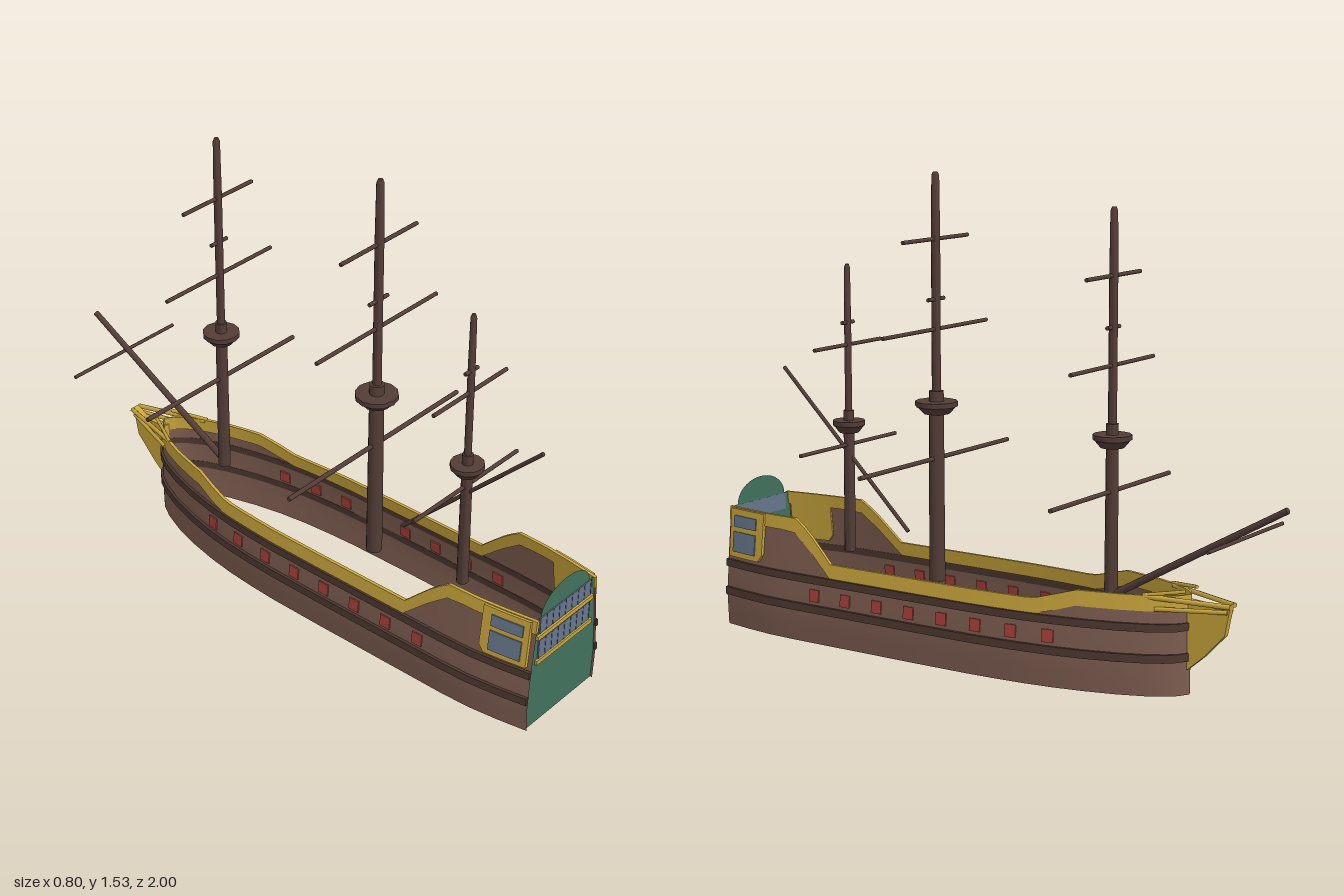
import * as THREE from 'three';
import { toCreasedNormals } from 'three/addons/utils/BufferGeometryUtils.js';

const mat = (name, color, side = THREE.FrontSide) => {
  const m = new THREE.MeshStandardMaterial({ color, side });
  m.name = name;
  return m;
};
const planks = mat('hull brown', 0x7d5d50, THREE.DoubleSide);
const wale = mat('wale brown', 0x4d372f);
const spar = mat('spar brown', 0x523c36);
const gold = mat('gold trim', 0xc9a53c);
const green = mat('stern green', 0x41705b, THREE.DoubleSide);
const glass = mat('window glass', 0x67768c);
const lead = mat('window bars', 0x4b586c);
const red = mat('gun port red', 0xa8403a);

// Piecewise linear lookup; points are listed with ascending first value
const curve = (pts) => (t) => {
  for (let i = 1; i < pts.length; i++) {
    const [a, va] = pts[i - 1], [b, vb] = pts[i];
    if (t <= b) return va + (vb - va) * Math.max(0, (t - a) / (b - a));
  }
  return pts[pts.length - 1][1];
};

// Hull plan, tumblehome, and the upper and lower edges of the rail
const plan = curve([[-0.68, 0], [-0.66, 0.037], [-0.63, 0.065], [-0.58, 0.095], [-0.5, 0.128], [-0.4, 0.157],
  [-0.3, 0.178], [-0.2, 0.192], [-0.1, 0.2], [0, 0.205], [0.2, 0.207], [0.7, 0.207], [0.8, 0.203], [0.9, 0.19], [1, 0.172]]);
const section = curve([[0, 0.97], [0.1, 1], [0.22, 0.95], [0.3, 0.9], [0.4, 0.84]]);
const width = (z, y) => plan(z) * section(y);
const railTop = curve([[-0.68, 0.31], [-0.37, 0.31], [-0.23, 0.27], [0.54, 0.27], [0.62, 0.345], [0.69, 0.4], [1, 0.4]]);
const railLow = curve([[-0.68, 0.262], [-0.37, 0.262], [-0.25, 0.225], [0.54, 0.225], [0.63, 0.305], [0.7, 0.357], [1, 0.357]]);
const stations = [-0.68, -0.66, -0.63, -0.58, -0.5, -0.4, -0.37, -0.3, -0.24, -0.2, -0.1, 0, 0.2, 0.4,
  0.54, 0.58, 0.625, 0.66, 0.695, 0.75, 0.8, 0.85, 0.9, 0.95, 1];

function add(parent, name, geo, material) {
  const m = new THREE.Mesh(geo, material);
  m.name = name;
  parent.add(m);
  return m;
}

// Surface through rings of points; closed rings get end caps
function loft(rings, closed, flip) {
  const n = rings[0].length, idx = [];
  const tri = (a, b, c) => (flip ? idx.push(a, c, b) : idx.push(a, b, c));
  for (let i = 0; i < rings.length - 1; i++) {
    for (let j = 0; j < (closed ? n : n - 1); j++) {
      const a = i * n + j, b = i * n + (j + 1) % n;
      tri(a, b, b + n);
      tri(a, b + n, a + n);
    }
  }
  if (closed) {
    const e = (rings.length - 1) * n;
    tri(0, 2, 1); tri(0, 3, 2);
    tri(e, e + 1, e + 2); tri(e, e + 2, e + 3);
  }
  const g = new THREE.BufferGeometry();
  g.setAttribute('position', new THREE.Float32BufferAttribute(rings.flat(2), 3));
  g.setIndex(idx);
  return toCreasedNormals(g, 0.6);
}

// Band that hugs the hull between two heights
function band(parent, name, material, s, zs, low, high, out, inn) {
  const rings = zs.map((z) => {
    const lo = low(z), hi = high(z);
    const p = (y, off) => [s * Math.max(0, width(z, y) + off), y, z];
    return [p(lo, inn), p(lo, out), p(hi, out), p(hi, inn)];
  });
  add(parent, name, loft(rings, true, s < 0), material);
}

// Round spar between two points
function pole(parent, name, a, b, r0, r1 = r0, material = spar, sides = 8) {
  const p = new THREE.Vector3(...a), q = new THREE.Vector3(...b), d = q.clone().sub(p);
  const m = add(parent, name, new THREE.CylinderGeometry(r1, r0, d.length(), sides), material);
  m.position.copy(p).add(q).multiplyScalar(0.5);
  m.quaternion.setFromUnitVectors(new THREE.Vector3(0, 1, 0), d.normalize());
}

function box(parent, name, material, size, pos) {
  const m = add(parent, name, new THREE.BoxGeometry(...size), material);
  m.position.set(...pos);
  return m;
}

function hullSide(s) {
  const g = new THREE.Group();
  g.name = s > 0 ? 'leftHull' : 'rightHull';
  const rings = stations.map((z) => [0, 0.05, 0.1, 0.16, 0.22, (0.22 + railLow(z)) / 2, railLow(z) + 0.01]
    .map((y) => [s * width(z, y), y, z]));
  add(g, 'planking', loft(rings, false, s < 0), planks);
  band(g, 'lowerWale', wale, s, stations, () => 0.105, () => 0.13, 0.01, -0.001);
  band(g, 'upperWale', wale, s, stations, () => 0.2, () => 0.224, 0.01, -0.001);
  band(g, 'rail', gold, s, stations, railLow, railTop, 0.004, -0.007);

  // Gun ports turned to lie on the planking
  for (let i = 0; i < 8; i++) {
    const z = 0.6 - i * 0.1264;
    const port = box(g, 'gunPort', red, [0.009, 0.04, 0.038], [s * width(z, 0.16), 0.16, z]);
    port.rotation.set(0, s * Math.atan((plan(z + 0.02) - plan(z - 0.02)) / 0.04), s * 0.09);
  }

  // Quarter gallery
  band(g, 'galleryFrame', gold, s, [0.828, 0.845, 0.9, 0.985], curve([[0.828, 0.26], [0.845, 0.237], [1, 0.237]]),
    () => 0.397, 0.012, -0.006);
  for (const [lo, hi] of [[0.255, 0.322], [0.338, 0.376]]) {
    band(g, 'galleryWindow', glass, s, [0.86, 0.9, 0.966], () => lo, () => hi, 0.016, 0.011);
  }

  // Rails of the beakhead
  pole(g, 'beakTopRail', [s * 0.085, 0.305, -0.57], [s * 0.016, 0.293, -0.82], 0.008, 0.008, gold, 6);
  pole(g, 'beakLowerRail', [s * 0.08, 0.27, -0.6], [s * 0.014, 0.275, -0.81], 0.007, 0.007, gold, 6);
  pole(g, 'bowRail', [s * 0.09, 0.31, -0.565], [s * 0.035, 0.325, -0.68], 0.006, 0.006, gold, 6);
  return g;
}

function stern() {
  const g = new THREE.Group();
  g.name = 'stern';
  const s = new THREE.Shape();
  s.moveTo(-0.167, 0).lineTo(0.167, 0).lineTo(0.172, 0.1).lineTo(0.163, 0.22).lineTo(0.144, 0.4).lineTo(0.12, 0.4);
  s.absellipse(0, 0.4, 0.12, 0.077, 0, Math.PI, false);
  s.lineTo(-0.144, 0.4).lineTo(-0.163, 0.22).lineTo(-0.172, 0.1);
  add(g, 'transom', new THREE.ShapeGeometry(s, 16), green).position.z = 0.992;
  for (const [y, h] of [[0.282, 0.066], [0.37, 0.056]]) {
    box(g, 'sternWindow', glass, [0.254, h, 0.004], [0, y, 0.9935]);
    for (let i = 0; i < 9; i++) box(g, 'windowBar', lead, [0.003, h, 0.003], [-0.125 + i * 0.03125, y, 0.995]);
  }
  for (const y of [0.24, 0.331]) box(g, 'sternMoulding', gold, [0.276, 0.015, 0.008], [0, y, 0.996]);
  return g;
}

// Mast with fighting top, crosstree and yards given as [height, half length]
function mast(name, z, base, topY, tip, rLow, rHigh, rTop, yards) {
  const g = new THREE.Group();
  g.name = name;
  g.position.z = z;
  const lathe = (part, pts) => add(g, part, toCreasedNormals(
    new THREE.LatheGeometry(pts.map(([r, y]) => new THREE.Vector2(r, y)), 12), 0.7), spar);
  const cap = topY + 0.033;
  lathe('pole', [[0, base], [rLow, base], [rLow * 0.9, cap], [rHigh, cap], [rHigh, tip - 0.2],
    [rHigh * 0.85, tip - 0.012], [rHigh * 0.5, tip], [0, tip]]);
  lathe('top', [[rLow * 0.8, topY - 0.042], [rTop * 0.62, topY - 0.04], [rTop * 0.9, topY - 0.02],
    [rTop, topY - 0.016], [rTop, topY], [rLow * 0.8, topY]]);
  for (const [y, half] of yards) {
    pole(g, half < 0.05 ? 'crosstree' : 'yard', [-half, y, 0], [half, y, 0], half < 0.3 ? 0.0065 : 0.0075);
  }
  return g;
}

export function createModel() {
  const ship = new THREE.Group();
  ship.name = 'sailingShip';
  ship.add(hullSide(1), hullSide(-1), stern());

  // Knee below the beakhead
  const k = new THREE.Shape();
  k.moveTo(0.672, 0.075).lineTo(0.73, 0.125).lineTo(0.8, 0.2).lineTo(0.82, 0.3).lineTo(0.78, 0.28).lineTo(0.672, 0.285);
  const knee = new THREE.ExtrudeGeometry(k, { depth: 0.022, bevelEnabled: false });
  knee.translate(0, 0, -0.011).rotateY(Math.PI / 2);
  add(ship, 'beakKnee', knee, gold);

  ship.add(
    mast('mainMast', 0.255, 0.22, 0.805, 1.53, 0.026, 0.0145, 0.068, [[0.62, 0.4], [1.035, 0.278], [1.32, 0.173], [1.13, 0.043]]),
    mast('foreMast', -0.4, 0.25, 0.765, 1.45, 0.021, 0.0135, 0.06, [[0.59, 0.343], [0.975, 0.238], [1.245, 0.154], [1.09, 0.036]]),
    mast('mizzenMast', 0.61, 0.27, 0.708, 1.22, 0.019, 0.0115, 0.053, [[0.627, 0.25], [0.957, 0.173], [1.03, 0.03]]));

  // Bowsprit, its yard, and the slanting mizzen yard
  pole(ship, 'bowsprit', [0, 0.27, -0.41], [0, 0.603, -0.994], 0.012, 0.01, spar, 10);
  pole(ship, 'bowspritYard', [-0.23, 0.506, -0.86], [0.23, 0.506, -0.86], 0.006);
  pole(ship, 'slantingYard', [0, 0.86, 0.88], [0, 0.365, 0.37], 0.0065);
  return ship;
}
